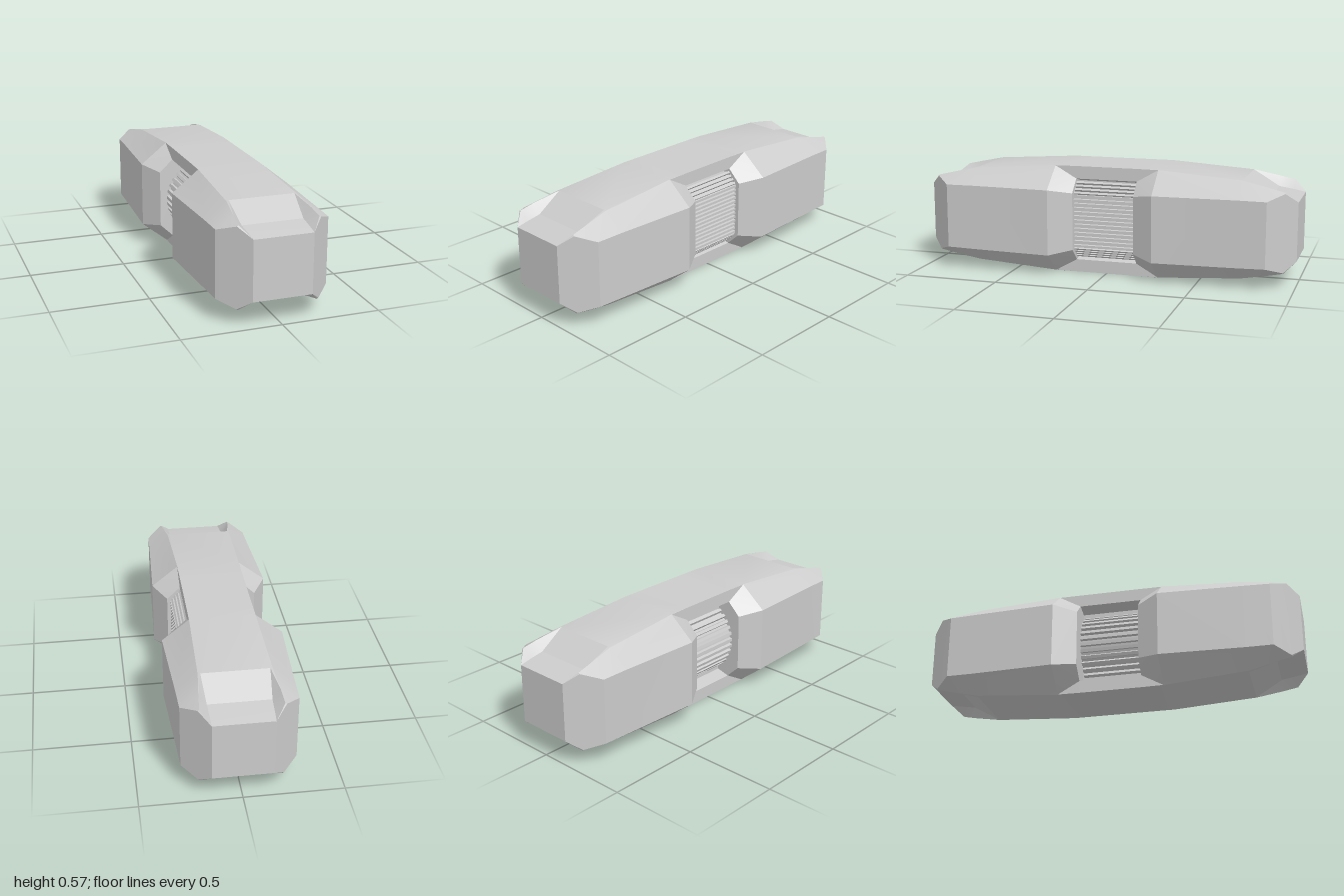
import * as THREE from 'three';
import { toCreasedNormals } from 'three/addons/utils/BufferGeometryUtils.js';

const MID = 0.286; // height of the horizontal symmetry plane
const material = new THREE.MeshStandardMaterial({ color: 0xcccccc, side: THREE.DoubleSide });

// Half the body: z, then top edge, rim and shoulder as [x, height above MID]
const HALF = [
  [0.165, [0.17, 0.286], [0.17, 0.219], [0.1, 0.2]], // recessed waist
  [0.165, [0.17, 0.286], [0.17, 0.219], [0.24, 0.152]], // mouth of the waist
  [0.28, [0.17, 0.286], [0.171, 0.285], [0.31, 0.174]],
  [0.72, [0.168, 0.257], [0.18, 0.254], [0.289, 0.173]],
  [0.86, [0.155, 0.176], [0.194, 0.226], [0.284, 0.171]],
  [0.94, [0.152, 0.164], [0.2, 0.208], [0.208, 0.203]],
  [1.0, [0.15, 0.153], [0.15, 0.153], [0.15, 0.153]],
];

// Counter-clockwise ring of 12 points, mirrored in x and y
function ring([, top, rim, shoulder], z) {
  const up = [shoulder, rim, top];
  const right = [...[top, rim, shoulder].map(([x, y]) => [x, -y]), ...up];
  const left = right.map(([x, y]) => [-x, -y]);
  return [...right, ...left].map(([x, y]) => new THREE.Vector3(x, MID + y, z));
}

function bodyGeometry() {
  const rings = [
    ...HALF.slice().reverse().map((s) => ring(s, -s[0])),
    ...HALF.map((s) => ring(s, s[0])),
  ];
  const out = [];
  const tri = (a, b, c) => {
    const area = b.clone().sub(a).cross(c.clone().sub(a)).length();
    if (area > 1e-8) for (const p of [a, b, c]) out.push(p.x, p.y, p.z);
  };
  for (let k = 0; k < rings.length - 1; k++) {
    const front = k >= HALF.length;
    for (let i = 0; i < 12; i++) {
      const j = (i + 1) % 12;
      const [a, b, c, d] = [rings[k][i], rings[k][j], rings[k + 1][j], rings[k + 1][i]];
      if ((i % 6 > 2) !== front) { tri(a, b, c); tri(a, c, d); }
      else { tri(a, b, d); tri(b, c, d); }
    }
  }
  // End faces
  const back = rings[0], front = rings[rings.length - 1];
  for (let i = 1; i < 11; i++) {
    tri(front[0], front[i], front[i + 1]);
    tri(back[0], back[i + 1], back[i]);
  }
  const g = new THREE.BufferGeometry();
  g.setAttribute('position', new THREE.Float32BufferAttribute(out, 3));
  return toCreasedNormals(g, 0.3);
}

// Extrude an outline along z, centred
function prism(points, length) {
  const shape = new THREE.Shape(points);
  const g = new THREE.ExtrudeGeometry(shape, { depth: length, bevelEnabled: false });
  return g.translate(0, 0, -length / 2);
}

function add(group, name, geometry) {
  const mesh = new THREE.Mesh(geometry, material);
  mesh.name = name;
  group.add(mesh);
  return mesh;
}

export function createModel() {
  const model = new THREE.Group();
  model.name = 'ridgedHousing';
  add(model, 'body', bodyGeometry());

  // Ribbed thumb wheel in the right-hand window
  const teeth = 36, wheel = [];
  for (let i = 0; i < teeth; i++) {
    for (const [t, r] of [[0.0, 0.19], [0.35, 0.19], [0.45, 0.206], [0.9, 0.206]]) {
      const a = ((i + t) / teeth) * Math.PI * 2;
      wheel.push(new THREE.Vector2(Math.cos(a) * r, Math.sin(a) * r));
    }
  }
  // Only the half facing the right-hand window is needed
  const half = wheel.filter((p) => p.x < -0.02);
  add(model, 'thumbWheel', prism(half, 0.31)).position.y = MID;

  // Ribbed grip in the left-hand window, following the chamfered opening
  const path = [[0.165, -0.205], [0.222, -0.145], [0.222, 0.145], [0.165, 0.21]]
    .map(([x, y]) => new THREE.Vector2(x, y));
  const grip = [new THREE.Vector2(0.09, -0.19)];
  const ribCounts = [4, 13, 4];
  ribCounts.forEach((count, s) => {
    const from = path[s], to = path[s + 1];
    const dir = to.clone().sub(from).normalize();
    const inward = new THREE.Vector2(-dir.y, dir.x).multiplyScalar(0.016);
    for (let i = 0; i < count; i++) {
      for (const [t, deep] of [[0.15, 1], [0.22, 0], [0.78, 0], [0.85, 1]]) {
        const p = from.clone().lerp(to, (i + t) / count);
        grip.push(p.addScaledVector(inward, deep));
      }
    }
  });
  grip.push(new THREE.Vector2(0.09, 0.19));
  add(model, 'ribbedGrip', prism(grip, 0.326)).position.y = MID;

  return model;
}
